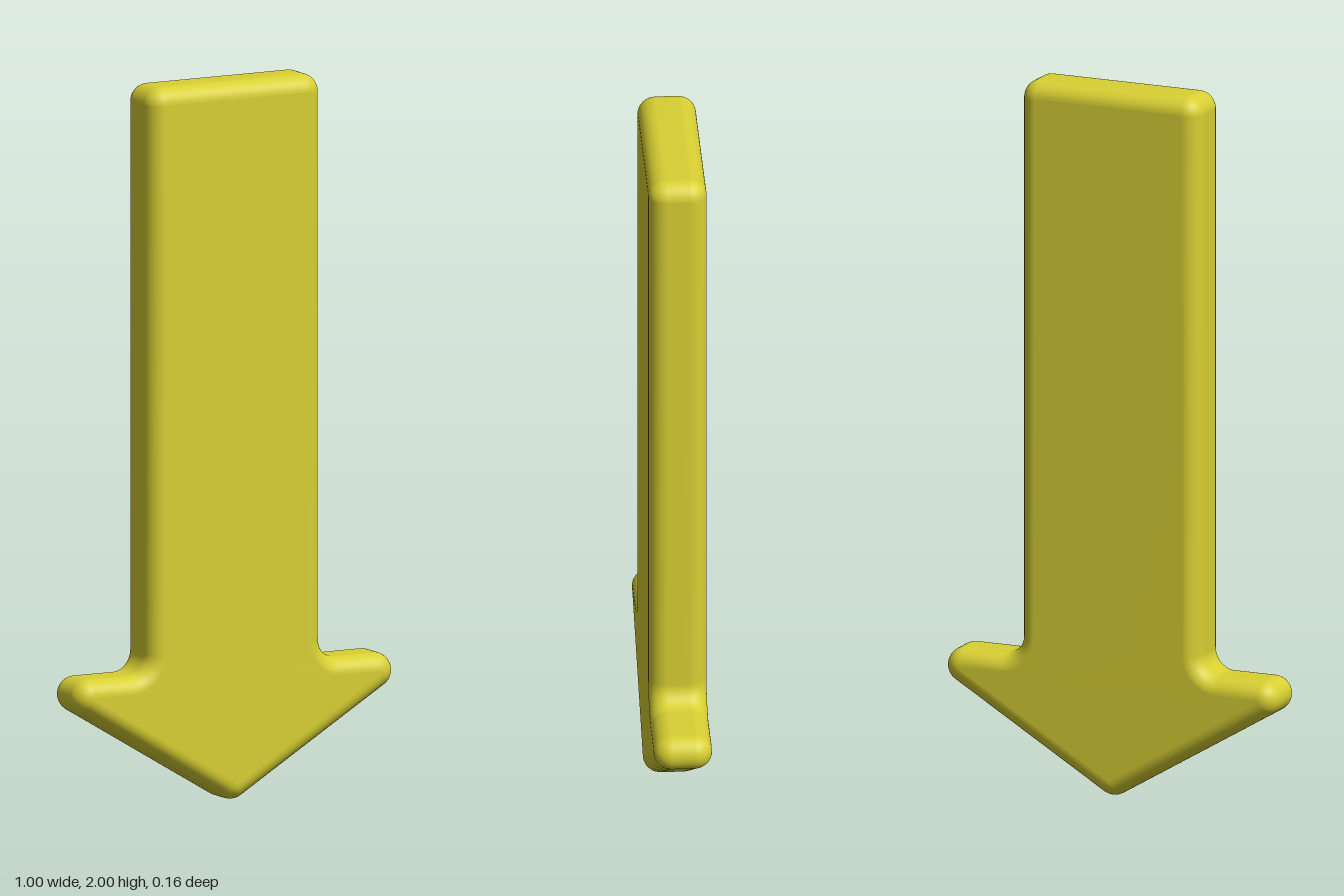
import * as THREE from 'three';
import { mergeVertices } from 'three/addons/utils/BufferGeometryUtils.js';

const ROUND = 0.05;           // edge and corner radius of the finished solid
const CORE = 0.004;           // small corner radius left on the core outline
const BEVEL = ROUND - CORE;   // the bevel grows the core to full size
const FILLET = 0.055;         // inner corner between shaft and head
const HALF_DEPTH = 0.08;

// Core outline of the downward arrow, counter-clockwise from the tip
function arrowOutline() {
  const q = Math.PI / 2;
  const slant = Math.atan2(0.27, 0.45);
  const armY = 0.32, armX = 0.45, shaftX = 0.22, topY = 1.95;
  const r = FILLET + BEVEL;
  const fx = shaftX + CORE + r, fy = armY + CORE + r;
  const s = new THREE.Shape();
  s.absarc(0, ROUND, CORE, -q - slant, -q + slant, false);       // tip
  s.absarc(armX, armY, CORE, slant - q, q, false);               // left barb
  s.absarc(fx, fy, r, -q, -2 * q, true);                         // left fillet
  s.absarc(shaftX, topY, CORE, 0, q, false);                     // top corners
  s.absarc(-shaftX, topY, CORE, q, 2 * q, false);
  s.absarc(-fx, fy, r, 0, -q, true);                             // right fillet
  s.absarc(-armX, armY, CORE, q, 3 * q - slant, false);          // right barb
  s.closePath();
  return s;
}

export function createModel() {
  const group = new THREE.Group();
  group.name = 'downArrow';

  const depth = 2 * (HALF_DEPTH - ROUND);
  let geometry = new THREE.ExtrudeGeometry(arrowOutline(), {
    depth, curveSegments: 10,
    bevelEnabled: true, bevelSize: BEVEL, bevelThickness: ROUND, bevelSegments: 10,
  });
  geometry.translate(0, 0, -depth / 2);

  // Weld so the rounded edges shade smoothly
  geometry.deleteAttribute('uv');
  geometry.deleteAttribute('normal');
  geometry = mergeVertices(geometry, 1e-5);
  geometry.computeVertexNormals();

  const arrow = new THREE.Mesh(geometry, new THREE.MeshStandardMaterial({ color: 0xd8d033 }));
  arrow.name = 'arrowBody';
  group.add(arrow);
  return group;
}
